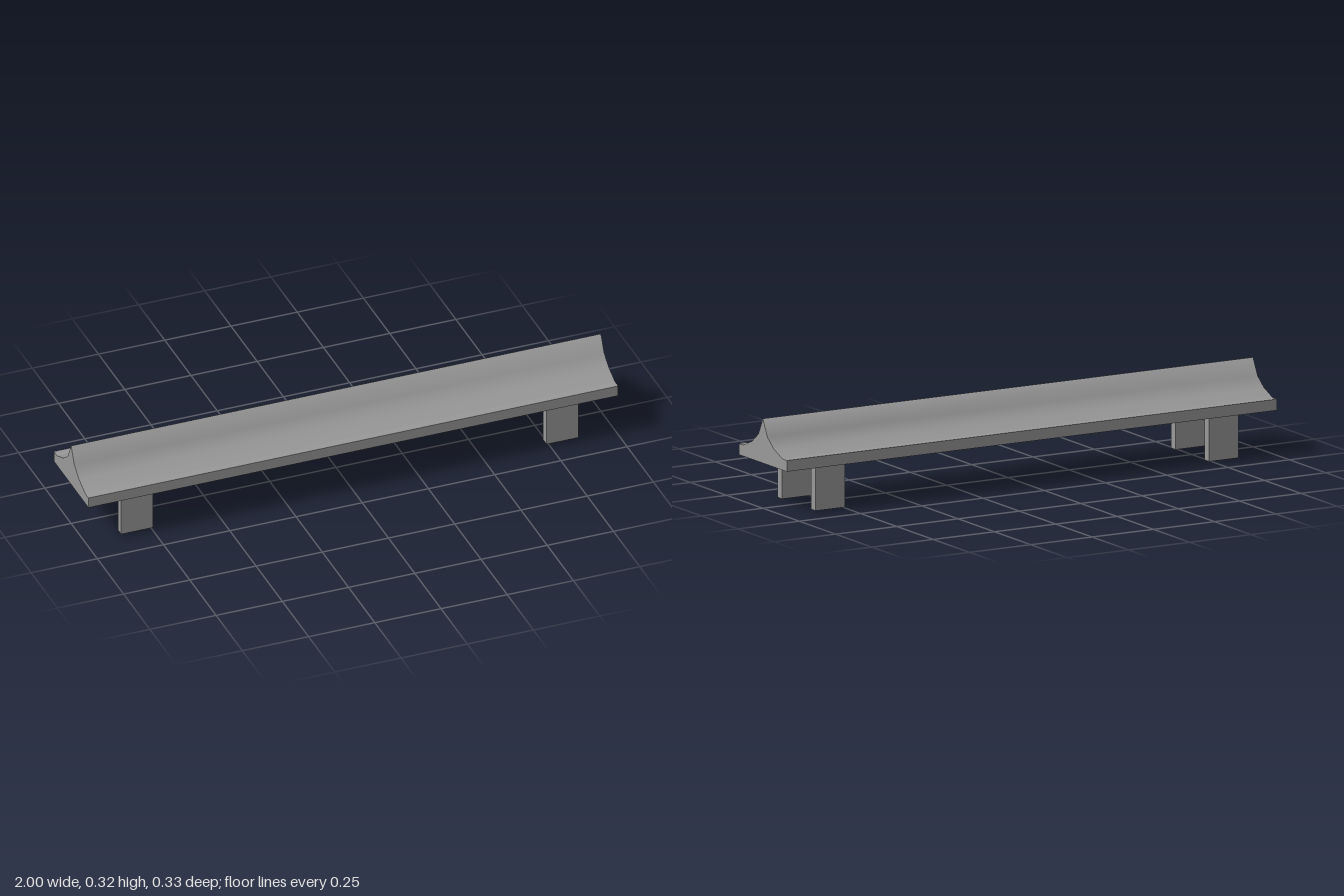
import * as THREE from 'three';

export function createModel() {
  const model = new THREE.Group();
  const material = new THREE.MeshStandardMaterial({ color: 0x999999 });

  function add(name, geometry, x, y, z) {
    const mesh = new THREE.Mesh(geometry, material);
    mesh.name = name;
    mesh.position.set(x, y, z);
    model.add(mesh);
  }

  // Eave slab under the roof
  add('eaveSlab', new THREE.BoxGeometry(2, 0.04, 0.33), 0, 0.182, 0);

  // Roof section as [z, y], from the back eave over the ridge to the front eave
  const half = [[0.135, 0.202], [0.075, 0.227], [0.031, 0.261]];
  const section = [...half.map(([z, y]) => [-z, y]), [0, 0.322], ...half.slice().reverse()];

  // Concave slopes: one sheet bent over the section, shaded smoothly across the ridge
  const slopes = new THREE.PlaneGeometry(2, 1, 1, section.length - 1);
  const position = slopes.attributes.position;
  for (let i = 0; i < position.count; i++) {
    const [z, y] = section[Math.floor(i / 2)];
    position.setXYZ(i, position.getX(i), y, z);
  }
  slopes.computeVertexNormals();
  add('roofSlopes', slopes, 0, 0, 0);

  // Flat gables closing both ends of the roof
  const gableShape = new THREE.Shape(section.map(([z, y]) => new THREE.Vector2(z, y)));

  // Each end: a gable, and a trestle of two flat legs joined by a crossbar
  for (const side of [1, -1]) {
    const label = side > 0 ? 'left' : 'right';
    const x = side * 0.803;
    add(label + 'Gable', new THREE.ShapeGeometry(gableShape).rotateY(side * Math.PI / 2), side, 0, 0);
    add(label + 'FrontLeg', new THREE.BoxGeometry(0.12, 0.162, 0.032), x, 0.081, 0.115);
    add(label + 'BackLeg', new THREE.BoxGeometry(0.12, 0.162, 0.032), x, 0.081, -0.115);
    add(label + 'Crossbar', new THREE.BoxGeometry(0.03, 0.024, 0.2), x, 0.134, 0);
  }
  return model;
}
